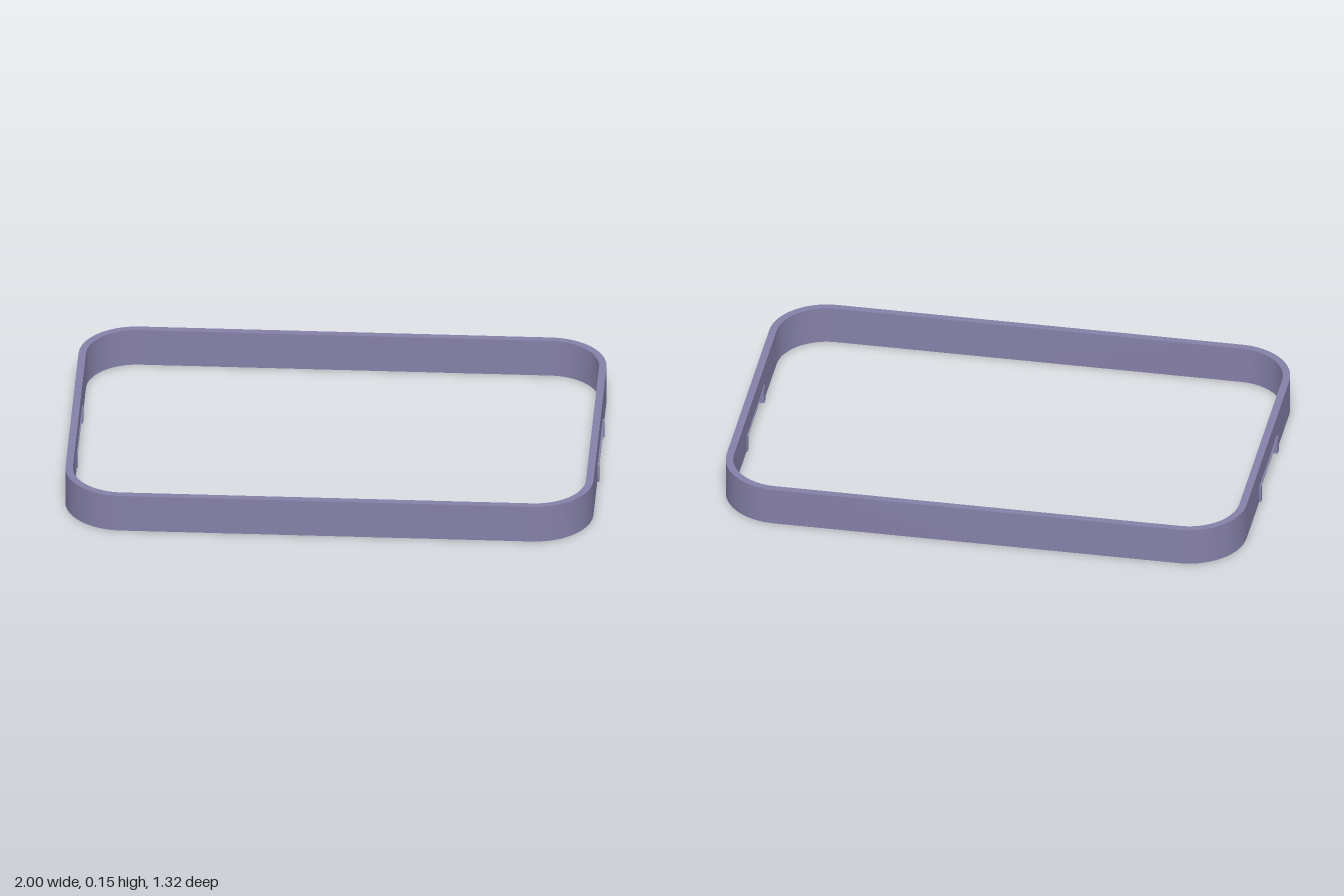
import * as THREE from 'three';
import { toCreasedNormals } from 'three/addons/utils/BufferGeometryUtils.js';

const HALF_X = 0.993, HALF_Z = 0.662, HEIGHT = 0.148, WALL = 0.028, RADIUS = 0.22;
const NOTCH_Z = 0.185, NOTCH_Y = 0.067; // opening cut in each short side
const LINER = 0.022, LINTEL = 0.003;    // notch liner: jamb width, top thickness

// Rounded rectangle stations: outer point, inner point, height of the lower edge
function frameStations() {
  const stations = [];
  const steps = 20, cx = HALF_X - RADIUS, cz = HALF_Z - RADIUS, inner = RADIUS - WALL;
  const corners = [[1, 1], [-1, 1], [-1, -1], [1, -1]];
  corners.forEach(([sx, sz], c) => {
    for (let i = 0; i <= steps; i++) {
      const a = (c + i / steps) * Math.PI / 2;
      const at = r => [sx * cx + r * Math.cos(a), sz * cz + r * Math.sin(a)];
      stations.push({ out: at(RADIUS), inn: at(inner), low: 0 });
    }
    // Step up and down again along the two short sides
    if (c % 2 === 1) {
      const side = sx;
      for (const [z, low] of [[1, 0], [1, NOTCH_Y], [-1, NOTCH_Y], [-1, 0]]) {
        const zz = -side * z * NOTCH_Z;
        stations.push({ out: [side * HALF_X, side < 0 ? zz : zz * 1], inn: [side * (HALF_X - WALL), zz], low });
      }
    }
  });
  return stations;
}

// Wall loop: outer, inner, top and lower faces between neighbouring stations
function frameGeometry() {
  const stations = frameStations(), pos = [];
  const quad = (a, b, c, d) => pos.push(...a, ...b, ...c, ...a, ...c, ...d);
  stations.forEach((s, i) => {
    const t = stations[(i + 1) % stations.length];
    const p = ([x, z], y) => [x, y, z];
    const so = p(s.out, s.low), si = p(s.inn, s.low), to = p(t.out, t.low), ti = p(t.inn, t.low);
    const sO = p(s.out, HEIGHT), sI = p(s.inn, HEIGHT), tO = p(t.out, HEIGHT), tI = p(t.inn, HEIGHT);
    quad(so, si, ti, to);
    if (s.low !== t.low) return; // vertical notch edge
    quad(so, to, tO, sO);
    quad(si, sI, tI, ti);
    quad(sO, tO, tI, sI);
  });
  const g = new THREE.BufferGeometry();
  g.setAttribute('position', new THREE.Float32BufferAttribute(pos, 3));
  return toCreasedNormals(g, 0.5);
}

// Inverted U lining a notch, slightly proud of the wall on both faces
function linerGeometry() {
  const z = NOTCH_Z, zi = NOTCH_Z - LINER, y = NOTCH_Y, yi = NOTCH_Y - LINTEL;
  const outline = [[-z, 0], [-zi, 0], [-zi, yi], [zi, yi], [zi, 0], [z, 0], [z, y], [-z, y]];
  const shape = new THREE.Shape(outline.map(([a, b]) => new THREE.Vector2(a, b)));
  const depth = 0.039;
  const g = new THREE.ExtrudeGeometry(shape, { depth, bevelEnabled: false });
  g.translate(0, 0, -depth / 2);
  g.rotateY(Math.PI / 2);
  return g;
}

export function createModel() {
  const group = new THREE.Group();
  group.name = 'roundedFrame';
  const material = new THREE.MeshStandardMaterial({ color: 0x8580a8, side: THREE.DoubleSide });

  const frame = new THREE.Mesh(frameGeometry(), material);
  frame.name = 'frameWall';
  group.add(frame);

  const liner = linerGeometry();
  for (const side of [-1, 1]) {
    const mesh = new THREE.Mesh(liner, material);
    mesh.name = side > 0 ? 'leftNotchLiner' : 'rightNotchLiner';
    mesh.position.x = side * 0.9805;
    group.add(mesh);
  }
  return group;
}
